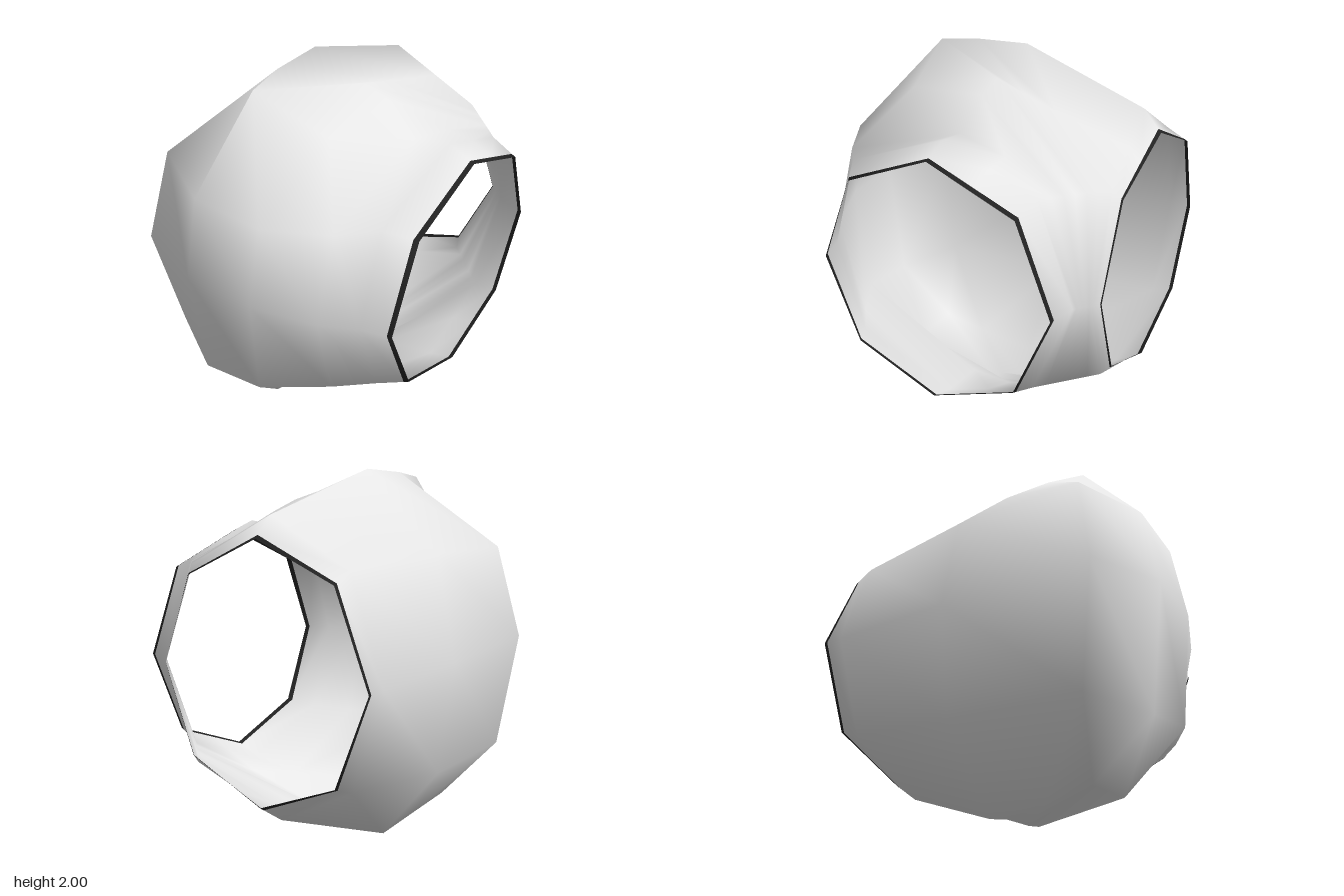
import * as THREE from 'three';

// Rings from the back opening round to the left opening. Points are [x, z, y].
// out/up/down place the outer corners between crown or floor and the outer wall;
// turn is the position along the crotch between the two openings;
// hipTop/hipLow are the bulge points between crown or floor and the crotch.
const BACK_MOUTH = { outer: [-0.79, -0.9, 1], crown: [-0.135, -0.9, 1.66], floor: [-0.135, -0.9, 0.345], inner: [0.52, -0.9], out: 0.71, up: 0.71, down: 0.71 };
const SIDE_MOUTH = { outer: [0.785, 0.56, 1], crown: [0.785, -0.1, 1.66], floor: [0.785, -0.1, 0.345], inner: [0.785, -0.76], out: 0.71, up: 0.71, down: 0.71 };
const BODY = [
  { outer: [-0.785, -0.78, 1], crown: [-0.14, -0.8, 1.77], floor: [-0.14, -0.75, 0.24], out: 0.72, up: 0.68, down: 0.68, turn: 0 },
  { outer: [-0.75, -0.1, 1.02], crown: [-0.2, -0.1, 2.0], floor: [-0.31, -0.09, 0.0], out: 0.8, up: 0.57, down: 0.58, turn: 0.2, hipTop: [0.15, -0.45, 1.78], hipLow: [0.12, -0.45, 0.16] },
  { outer: [-0.69, 0.75, 1.05], crown: [-0.2, 0.2, 1.99], floor: [-0.31, 0.25, 0.035], out: 0.8, up: 0.58, down: 0.61, turn: 0.35, hipTop: [0.15, -0.28, 1.84], hipLow: [0.1, -0.28, 0.11] },
  { outer: [-0.25, 0.9, 1.07], crown: [-0.17, 0.42, 1.97], floor: [-0.32, 0.52, 0.07], out: 0.81, up: 0.54, down: 0.67, turn: 0.5, hipTop: [0.12, -0.1, 1.89], hipLow: [0.05, -0.1, 0.04] },
  { outer: [0.14, 0.865, 1.06], crown: [0.23, 0.34, 1.81], floor: [-0.02, 0.52, 0.08], out: 0.84, up: 0.61, down: 0.62, turn: 0.65, hipTop: [0.27, -0.1, 1.84], hipLow: [0.13, -0.09, 0.05] },
  { outer: [0.46, 0.73, 1.02], crown: [0.45, -0.08, 1.69], floor: [0.34, -0.08, 0.23], out: 0.84, up: 0.71, down: 0.69, turn: 0.82, hipTop: [0.48, -0.35, 1.63], hipLow: [0.42, -0.35, 0.29] },
  { outer: [0.63, 0.61, 1], crown: [0.64, -0.1, 1.72], floor: [0.64, -0.1, 0.29], out: 0.78, up: 0.71, down: 0.71, turn: 1 },
];

const mix = (a, b, t) => a.map((v, i) => v + (b[i] - v) * t);

// Point between a crown or floor point and a wall point at mid height
function corner(cap, wall, h, v) {
  return [cap[0] + (wall[0] - cap[0]) * h, cap[1] + (wall[1] - cap[1]) * h, 1 + (cap[2] - 1) * v];
}

// Ten corners of one ring, from the outer wall over the crown and back under the floor
function ringPoints(ring) {
  const { outer, crown, floor, out, up, down, turn } = ring;
  const inner = ring.inner ?? mix([0.55, -0.87], [0.63, -0.8], turn);
  const shoulder = (cap, y) => ring.inner
    ? corner(cap, inner, 0.71, 0.71)
    : [...mix([0.35, -0.85], [0.63, -0.6], turn), y];
  const top = shoulder(crown, 1.52);
  const low = shoulder(floor, 0.48);
  return [
    outer,
    corner(crown, outer, out, up),
    crown,
    ring.hipTop ?? mix(crown, top, 0.5),
    top,
    [inner[0], inner[1], 1],
    low,
    ring.hipLow ?? mix(floor, low, 0.5),
    floor,
    corner(floor, outer, out, down),
  ].map(([x, z, y]) => [x, y, z]);
}

// Skin over the rings, open at both ends
function loft(rings) {
  const n = rings[0].length;
  const index = [];
  for (let r = 0; r < rings.length - 1; r++) {
    for (let i = 0; i < n; i++) {
      const a = r * n + i, b = r * n + (i + 1) % n;
      const c = a + n, d = b + n;
      index.push(a, c, b, b, c, d);
    }
  }
  const geometry = new THREE.BufferGeometry();
  geometry.setAttribute('position', new THREE.Float32BufferAttribute(rings.flat(2), 3));
  geometry.setIndex(index);
  geometry.computeVertexNormals();
  return geometry;
}

export function createModel() {
  const group = new THREE.Group();
  group.name = 'elbowTunnel';

  const grey = new THREE.MeshStandardMaterial({ color: 0xe7e7e7, side: THREE.DoubleSide });
  grey.name = 'pale grey';
  const black = new THREE.MeshStandardMaterial({ color: 0x222222, side: THREE.DoubleSide });
  black.name = 'black';

  const add = (name, rings, material) => {
    const mesh = new THREE.Mesh(loft(rings), material);
    mesh.name = name;
    group.add(mesh);
  };

  const body = BODY.map(ringPoints);
  const backEnd = ringPoints(BACK_MOUTH);
  const sideEnd = ringPoints(SIDE_MOUTH);
  const towards = (end, ring) => end.map((p, i) => mix(p, ring[i], 0.16));
  const backSeam = towards(backEnd, body[0]);
  const sideSeam = towards(sideEnd, body[body.length - 1]);

  // Swollen corner passage, open to the back and to the left
  add('tunnelShell', [backSeam, ...body, sideSeam], grey);

  // Dark edge around each opening
  add('backRim', [backEnd, backSeam], black);
  add('sideRim', [sideSeam, sideEnd], black);
  return group;
}
